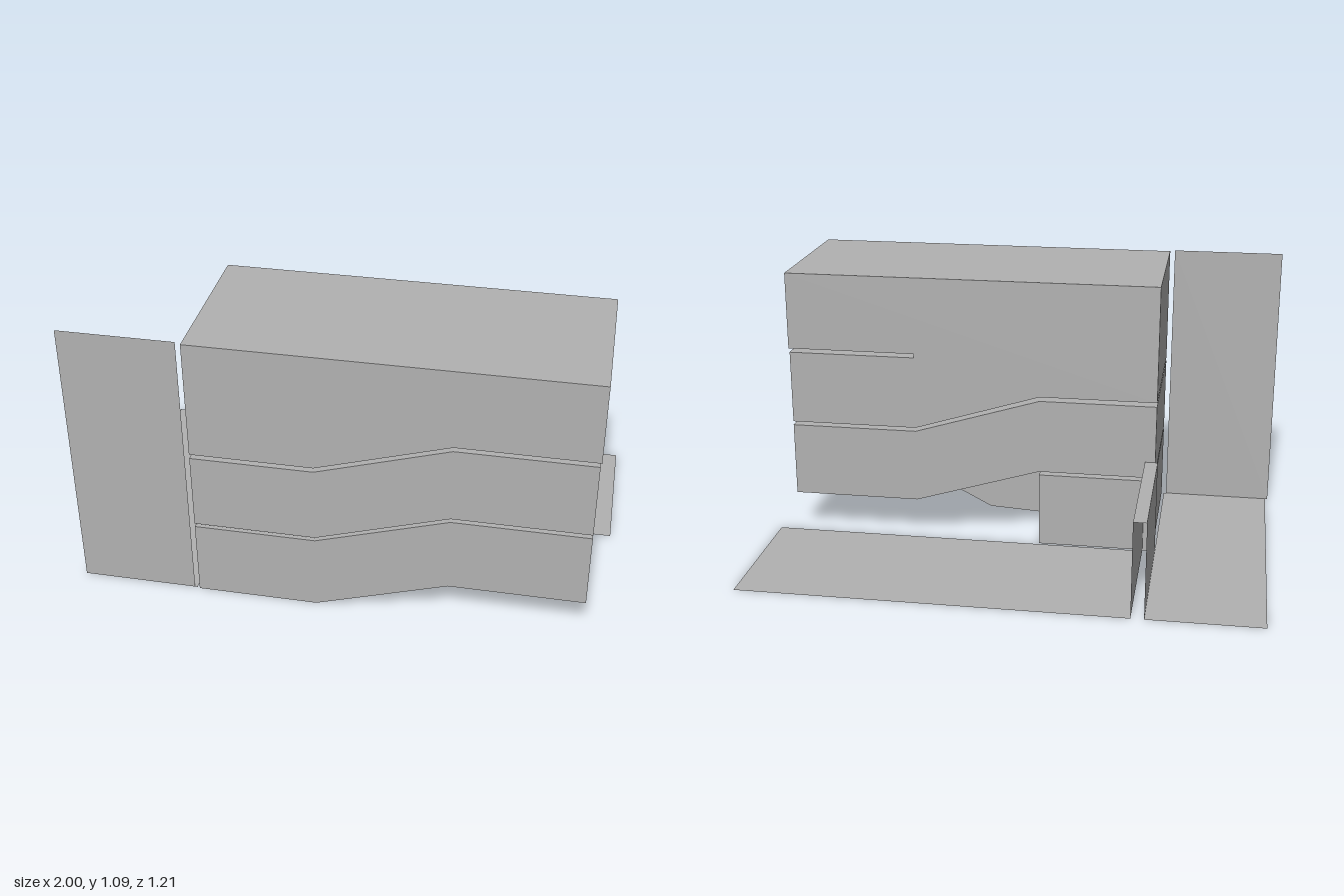
import * as THREE from 'three';

export function createModel() {
  const group = new THREE.Group();
  const grey = new THREE.MeshStandardMaterial({ color: 0xb2b2b2, side: THREE.DoubleSide });
  grey.name = 'concreteGrey';

  const add = (name, geometry, x = 0, y = 0, z = 0) => {
    const mesh = new THREE.Mesh(geometry, grey);
    mesh.name = name;
    mesh.position.set(x, y, z);
    group.add(mesh);
    return mesh;
  };
  const outline = (points) => new THREE.Shape(points.map(([x, y]) => new THREE.Vector2(x, y)));
  const slab = (name, points, z0, z1) =>
    add(name, new THREE.ExtrudeGeometry(outline(points), { depth: z1 - z0, bevelEnabled: false }), 0, 0, z0);

  // Ends of the block, ends of the ramps, and the plane between the two ramp lanes
  const L = -0.54, R = 0.93, a = -0.08, b = 0.42;
  const back = -0.01, mid = 0.3, front = 0.605, roof = 1.085;

  // Ramped storey: flat at yl, sloping from a to b, flat at yr
  const storey = (bl, br, tl, tr, r = R) =>
    [[L, bl], [a, bl], [b, br], [r, br], [r, tr], [b, tr], [a, tl], [L, tl]];

  // Front lane: three storeys rising towards +x, separated by narrow slits
  slab('frontLowerStorey', storey(0, 0.16, 0.298, 0.455, 0.926), mid, front);
  slab('frontMiddleStorey', storey(0.312, 0.47, 0.608, 0.762, 0.926), mid, front);
  slab('frontUpperStorey', storey(0.625, 0.778, roof, roof), mid, front);

  // Back lane: storeys rising towards -x, linking one level to the next
  slab('backLobby', [[L, 0], [a, 0], [a, 0.298], [L, 0.298]], back, mid);
  slab('backLowerStorey', storey(0.312, 0.16, 0.608, 0.455, 0.926), back, mid);
  slab('backUpperStorey', [
    [L, 0.625], [a, 0.625], [b, 0.47], [0.926, 0.47], [0.926, 0.762], [b, 0.762],
    [b, 0.778], [R, 0.778], [R, roof], [L, roof],
  ], back, mid);

  // Thin wall hanging under the lowest ramp
  add('rampSkirt', new THREE.ShapeGeometry(outline([[a, 0.003], [0.17, 0.018], [b, 0.147], [b, 0.16]])), 0, 0, mid - 0.002);

  // Upright panel beside the block
  add('sidePanel', new THREE.PlaneGeometry(0.44, 1.09), -0.78, 0.545, 0.6);

  // Ground sheets
  const ground = (name, x0, x1, z0, z1) =>
    add(name, new THREE.PlaneGeometry(x1 - x0, z1 - z0).rotateX(-Math.PI / 2), (x0 + x1) / 2, 0, (z0 + z1) / 2);
  ground('sideGround', -0.99, -0.55, -0.605, 0.6);
  ground('rearGround', -0.5, 1, -0.605, -0.02);

  // Low hollow wall, open at the rear and below
  const h = 0.38, z0 = -0.605, z1 = -0.015, len = z1 - z0, zc = (z0 + z1) / 2;
  add('lowWallOuterSide', new THREE.PlaneGeometry(len, h).rotateY(-Math.PI / 2), -0.55, h / 2, zc);
  add('lowWallInnerSide', new THREE.PlaneGeometry(len, h).rotateY(Math.PI / 2), -0.5, h / 2, zc);
  add('lowWallTop', new THREE.PlaneGeometry(0.05, len).rotateX(-Math.PI / 2), -0.525, h, zc);
  add('lowWallEnd', new THREE.PlaneGeometry(0.05, h), -0.525, h / 2, z1);

  return group;
}
